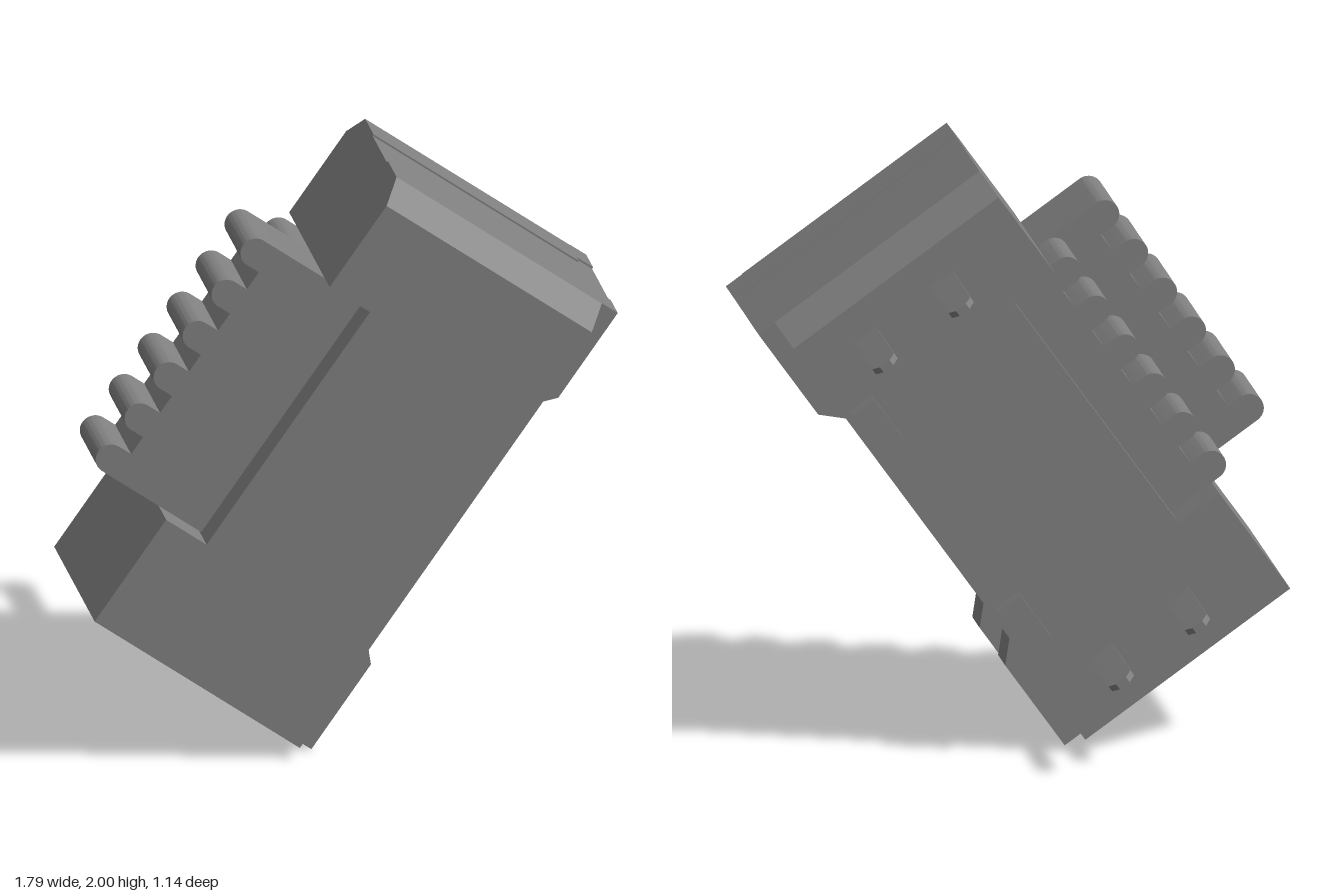
import * as THREE from 'three';
import { toCreasedNormals } from 'three/addons/utils/BufferGeometryUtils.js';

const plastic = new THREE.MeshStandardMaterial({ color: 0x808080 });
plastic.name = 'grey plastic';

const BACK = -0.21, FRONT = 0.56;   // case depth
const END = 0.9, SIDE = 0.457;      // half length, half height
const NOTCH = 0.48, NOTCH_Y = 0.29; // cut-out holding the levers

function add(parent, name, geometry) {
  const mesh = new THREE.Mesh(geometry, plastic);
  mesh.name = name;
  parent.add(mesh);
  return mesh;
}

function box(parent, name, x0, x1, y0, y1, z0, z1) {
  const g = new THREE.BoxGeometry(x1 - x0, y1 - y0, z1 - z0);
  g.translate((x0 + x1) / 2, (y0 + y1) / 2, (z0 + z1) / 2);
  return add(parent, name, g);
}

// Outline given as [x, z], raised from y0 to y1, with optional holes
function slab(parent, name, outline, y0, y1, holes = []) {
  const toPoints = (list) => list.map(([x, z]) => new THREE.Vector2(x, -z));
  const shape = new THREE.Shape(toPoints(outline));
  holes.forEach((h) => shape.holes.push(new THREE.Path(toPoints(h))));
  const g = new THREE.ExtrudeGeometry(shape, { depth: y1 - y0, bevelEnabled: false });
  g.rotateX(-Math.PI / 2).translate(0, y0, 0);
  return add(parent, name, g);
}

// Outline given as [x, y], running from z0 to z1
function prism(parent, name, outline, z0, z1) {
  const shape = new THREE.Shape(outline.map(([x, y]) => new THREE.Vector2(x, y)));
  const g = new THREE.ExtrudeGeometry(shape, { depth: z1 - z0, bevelEnabled: false });
  return add(parent, name, g.translate(0, 0, z0));
}

// Case outline from x0 to the chamfered end with its shallow middle band
const caseOutline = (x0) => [
  [x0, BACK], [0.815, BACK], [END, -0.125], [END, 0.035], [0.894, 0.035],
  [0.894, 0.31], [END, 0.31], [END, 0.475], [0.815, FRONT], [x0, FRONT],
];

// Lever block whose top edge carries a row of six rounded ribs
function lever(parent, name, floorY, z0, z1) {
  const r = 0.05, pitch = 0.17;
  const shape = new THREE.Shape();
  shape.moveTo(-NOTCH + 0.005, 0);
  shape.lineTo(NOTCH - 0.005, 0);
  for (let i = 5; i >= 0; i--) {
    const x = (i - 2.5) * pitch;
    shape.lineTo(x + r, floorY);
    shape.absarc(x, floorY + 0.05, r, 0, Math.PI, false);
    shape.lineTo(x - r, floorY);
  }
  shape.closePath();
  const g = new THREE.ExtrudeGeometry(shape, { depth: z1 - z0, bevelEnabled: false, curveSegments: 12 });
  g.translate(0, 0, z0);
  add(parent, name, toCreasedNormals(g, 0.6));
}

export function createModel() {
  const model = new THREE.Group();
  model.name = 'switchModule';
  const body = new THREE.Group();
  body.name = 'tiltedModule';
  // Leaned over on one corner, with a very small twist about its long axis
  body.rotation.set(THREE.MathUtils.degToRad(1), 0, THREE.MathUtils.degToRad(55), 'ZYX');
  body.position.y = 1;
  model.add(body);

  // Case in layers: recessed underside, socket layer, solid core, raised ends
  const sockets = [-1, 1].map((s) => [
    [s * 0.5, 0], [s * 0.83, 0], [s * 0.83, 0.335], [s * 0.5, 0.335],
  ]);
  const channel = [
    [-0.83, 0], [-0.3, 0], [-0.3, -0.06], [0.45, -0.06], [0.45, 0], [0.83, 0],
    [0.83, 0.335], [0.45, 0.335], [0.45, 0.405], [-0.3, 0.405], [-0.3, 0.335], [-0.83, 0.335],
  ];
  slab(body, 'caseUnderside', caseOutline(-END), -0.39, -0.36, [channel]);
  slab(body, 'caseSocketLayer', caseOutline(-END), -0.36, -0.1, sockets);
  slab(body, 'caseCore', caseOutline(-END), -0.1, NOTCH_Y);
  slab(body, 'caseChamferedEnd', caseOutline(NOTCH), NOTCH_Y, SIDE);
  box(body, 'caseSquareEnd', -END, -NOTCH, NOTCH_Y, SIDE, BACK, FRONT);

  // Two rows of ribbed levers, the rear row lower
  lever(body, 'frontLever', 0.65, 0.14, 0.443);
  lever(body, 'rearLever', 0.44, -0.098, 0.14);

  for (const s of [-1, 1]) {
    // U-shaped rim round each socket
    const rail = [[s * END, -0.39], [s * 0.48, -0.39], [s * 0.55, -SIDE], [s * END, -SIDE]];
    prism(body, 'rimRail', rail, 0.335, 0.47);
    prism(body, 'rimRail', rail, -0.13, 0);
    const x = [s * 0.83, s * 0.894].sort((a, b) => a - b);
    box(body, 'rimEndWall', x[0], x[1], -SIDE, -0.39, 0, 0.335);

    // Sloped contact inside the socket
    prism(body, 'socketContact', [[s * 0.83, -0.1], [s * 0.83, -0.34], [s * 0.5, -0.1]], 0.01, 0.325);

    // Small standoff pad on the back
    box(body, 'standoffPad', s * 0.43 - 0.09, s * 0.43 + 0.09, -0.37, -0.275, -0.26, BACK + 0.01);

    // Flat pins with tapered tips
    for (const y of [0.143, -0.172]) {
      const tip = -0.57, w = 0.045;
      const blade = new THREE.Shape([
        [BACK + 0.01, -w], [BACK + 0.01, w], [tip + 0.03, w],
        [tip, w * 0.45], [tip, -w * 0.45], [tip + 0.03, -w],
      ].map(([z, h]) => new THREE.Vector2(-z, h)));
      const g = new THREE.ExtrudeGeometry(blade, { depth: 0.022, bevelEnabled: false });
      g.translate(0, 0, -0.011).rotateY(Math.PI / 2).translate(s * 0.695, y, 0);
      add(body, 'pin', g);
    }
  }
  return model;
}
